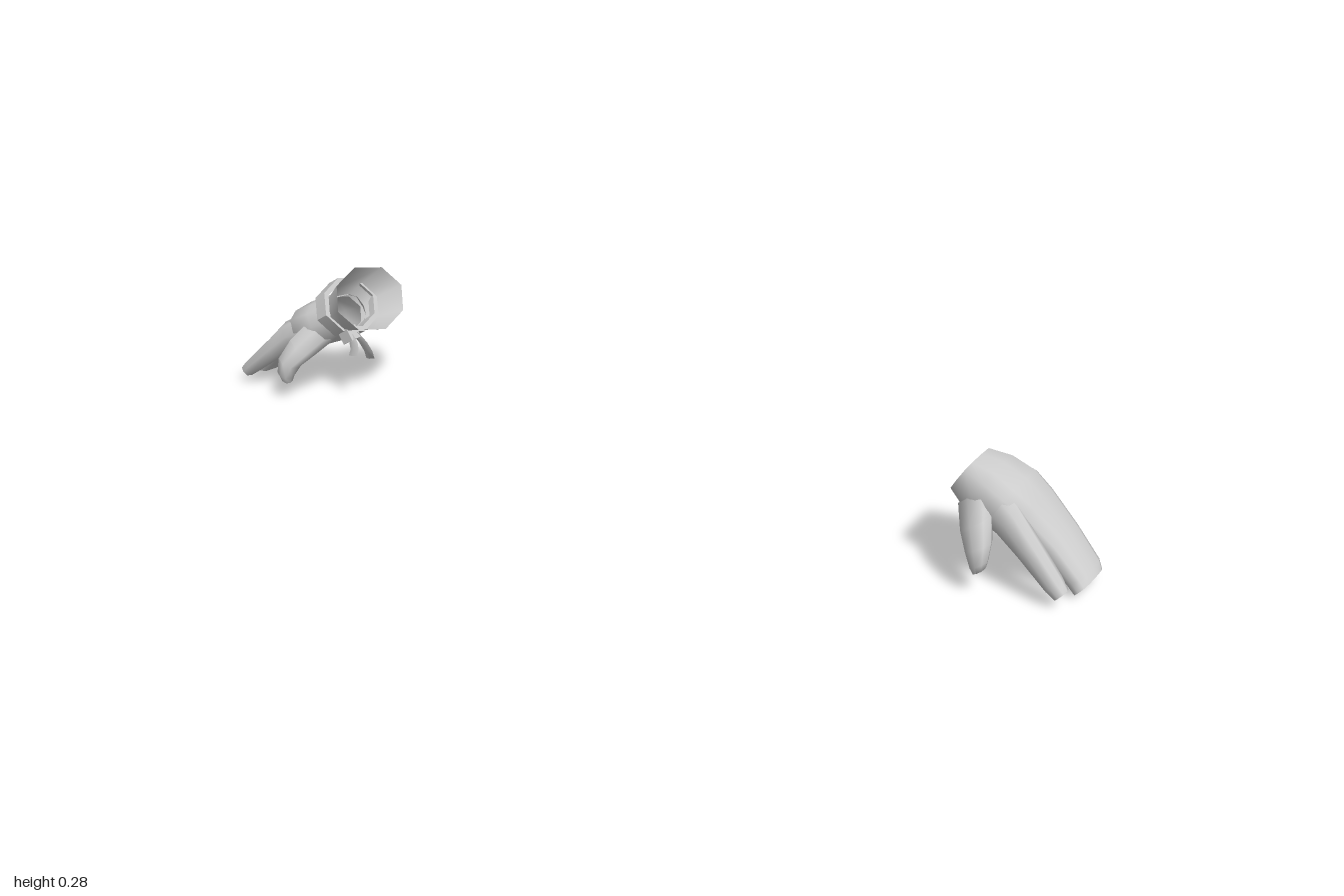
import * as THREE from 'three';
import { toCreasedNormals } from 'three/addons/utils/BufferGeometryUtils.js';

const material = new THREE.MeshStandardMaterial({ color: 0xcccccc, side: THREE.DoubleSide });

// Skin rounded cross-sections. Each is [topX, topY, bottomX, bottomY, zMin, zMax];
// side is 1 for the left hand, -1 for the mirrored right hand.
function loft(name, side, sections, { sides = 10, square = 0.8, capStart = false, capEnd = true, crease = 1.1 } = {}) {
  const pos = [], index = [];
  const soft = v => Math.sign(v) * Math.abs(v) ** square;
  const tri = (a, b, c) => side > 0 ? index.push(a, b, c) : index.push(a, c, b);
  for (const [tx, ty, bx, by, z0, z1] of sections) {
    for (let j = 0; j < sides; j++) {
      const t = j / sides * Math.PI * 2;
      const c = soft(Math.cos(t)) / 2, s = soft(Math.sin(t)) / 2;
      pos.push(side * ((tx + bx) / 2 + (tx - bx) * c), (ty + by) / 2 + (ty - by) * c, (z0 + z1) / 2 + (z1 - z0) * s);
    }
  }
  for (let i = 0; i < sections.length - 1; i++) {
    for (let j = 0; j < sides; j++) {
      const k = (j + 1) % sides, a = i * sides, b = a + sides;
      tri(a + j, a + k, b + k);
      tri(a + j, b + k, b + j);
    }
  }
  const cap = (row, end) => {
    const [tx, ty, bx, by, z0, z1] = sections[row];
    const m = pos.length / 3;
    pos.push(side * (tx + bx) / 2, (ty + by) / 2, (z0 + z1) / 2);
    for (let j = 0; j < sides; j++) {
      const a = row * sides + j, b = row * sides + (j + 1) % sides;
      end ? tri(m, a, b) : tri(m, b, a);
    }
  };
  if (capStart) cap(0, false);
  if (capEnd) cap(sections.length - 1, true);
  const geo = new THREE.BufferGeometry();
  geo.setAttribute('position', new THREE.Float32BufferAttribute(pos, 3));
  geo.setIndex(index);
  const mesh = new THREE.Mesh(toCreasedNormals(geo, crease), material);
  mesh.name = name;
  return mesh;
}

function makeHand(side) {
  const hand = new THREE.Group();
  hand.name = side > 0 ? 'leftHand' : 'rightHand';
  // Palm running into the joined outer fingers, open at the wrist
  hand.add(loft('palmAndOuterFingers', side, [
    [0.767, 0.213, 0.727, 0.145, -0.066, 0.06],
    [0.81, 0.206, 0.755, 0.115, -0.083, 0.072],
    [0.853, 0.184, 0.805, 0.1, -0.094, 0.08],
    [0.885, 0.15, 0.84, 0.095, -0.093, 0.058],
    [0.94, 0.092, 0.902, 0.053, -0.085, 0.042],
    [0.99, 0.042, 0.957, 0.015, -0.068, 0.046],
    [1.0, 0.03, 0.972, 0.0, -0.055, 0.046],
  ], { sides: 12, square: 0.75 }));
  // Separate index finger
  hand.add(loft('indexFinger', side, [
    [0.835, 0.175, 0.8, 0.11, 0.01, 0.078],
    [0.868, 0.155, 0.835, 0.1, 0.034, 0.086],
    [0.912, 0.108, 0.882, 0.07, 0.045, 0.094],
    [0.965, 0.054, 0.942, 0.027, 0.063, 0.105],
    [0.98, 0.036, 0.96, 0.015, 0.072, 0.103],
  ], { sides: 8 }));
  // Thumb
  hand.add(loft('thumb', side, [
    [0.8, 0.18, 0.748, 0.13, 0.0, 0.068],
    [0.826, 0.138, 0.772, 0.1, 0.05, 0.108],
    [0.84, 0.098, 0.795, 0.076, 0.08, 0.132],
    [0.84, 0.066, 0.81, 0.05, 0.097, 0.135],
    [0.836, 0.05, 0.816, 0.037, 0.1, 0.128],
  ], { sides: 8 }));
  return hand;
}

// Section square to the forearm: a = distance up the arm, lo/hi = extent across it
function armSection(a, lo, hi, z0, z1) {
  const x = 0.745 - 0.85 * a, y = 0.18 + 0.53 * a;
  return [x + 0.53 * hi, y + 0.85 * hi, x + 0.53 * lo, y + 0.85 * lo, z0, z1];
}

function makeCuff(side) {
  const cuff = new THREE.Group();
  cuff.name = 'tiedCuff';
  // Flared open sleeve end
  cuff.add(loft('flaredCuff', side, [
    armSection(0.068, -0.071, 0.08, -0.132, 0.082),
    armSection(0.01, -0.048, 0.058, -0.082, 0.06),
    armSection(-0.015, -0.042, 0.046, -0.068, 0.058),
  ], { sides: 8, square: 1, capEnd: false }));
  // Thick ribbon band around the wrist
  const band = (a, t) => armSection(a, -0.054 + t, 0.077 - t, -0.095 + t, 0.074 - t);
  cuff.add(loft('wristBand', side,
    [band(0.022, 0.012), band(0.022, 0), band(-0.01, 0), band(-0.01, 0.012), band(0.022, 0.012)],
    { sides: 8, square: 1, capEnd: false, crease: 0.9 }));
  // Knot and two hanging ribbon ends
  const knot = new THREE.Mesh(new THREE.BoxGeometry(0.03, 0.03, 0.03), material);
  knot.name = 'knot';
  knot.position.set(side * 0.708, 0.148, 0.03);
  knot.rotation.z = side * -0.55;
  cuff.add(knot);
  for (const [z, end, drop] of [[0.02, -0.012, 0.07], [0.036, 0.045, 0.045]]) {
    const rows = [0, 0.35, 0.7, 1].map(t => {
      const x = 0.704 - 0.04 * t * (1 - t) - 0.016 * t, y = 0.15 - drop * t;
      const zz = THREE.MathUtils.lerp(z, end, t);
      return [x + 0.012, y, x - 0.012, y + 0.004, zz - 0.004, zz + 0.004];
    });
    cuff.add(loft('ribbonEnd', side, rows, { sides: 4, square: 1, capStart: true }));
  }
  return cuff;
}

export function createModel() {
  const model = new THREE.Group();
  model.name = 'pairOfGloves';
  for (const side of [1, -1]) model.add(makeHand(side));
  model.add(makeCuff(-1));
  return model;
}
